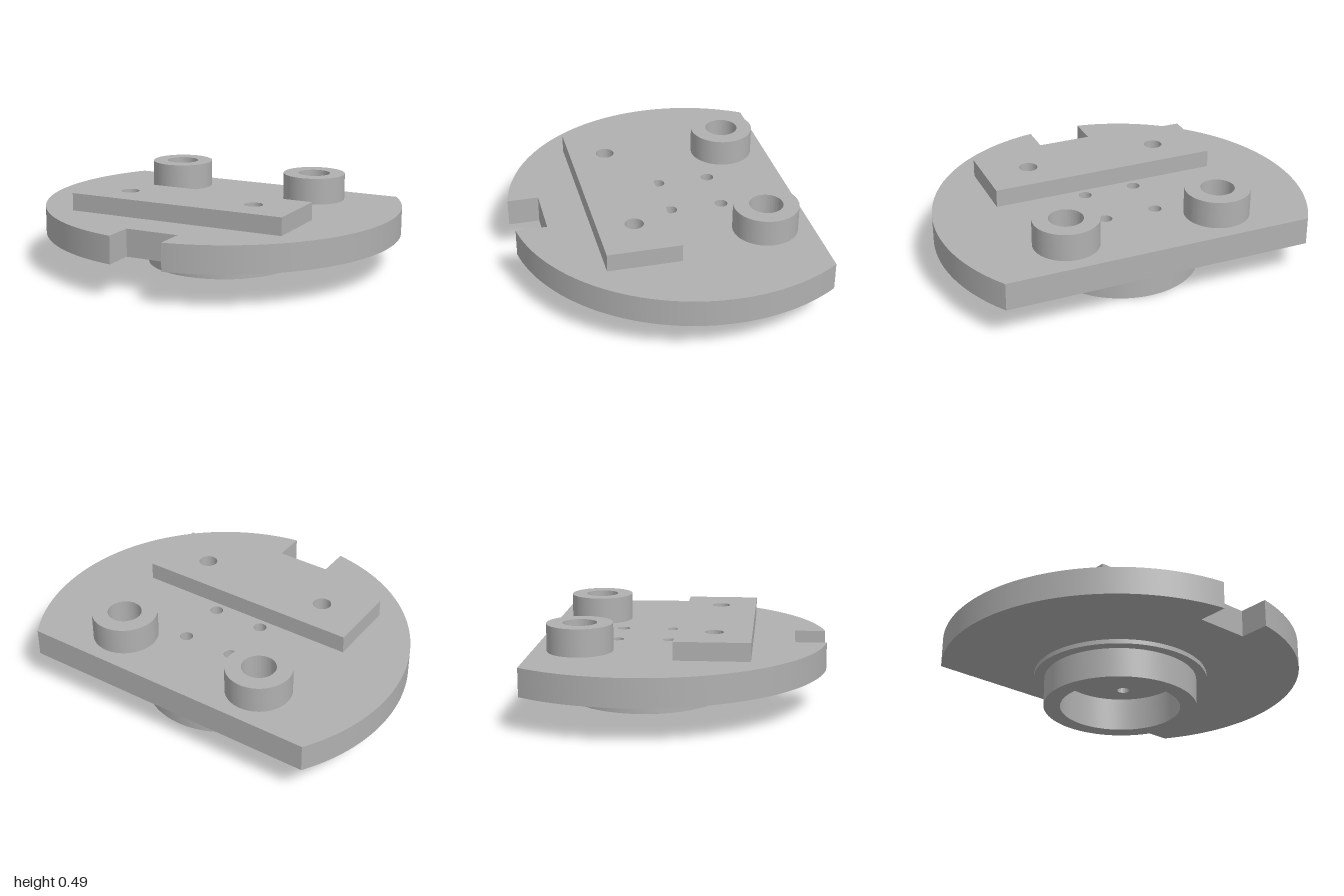
import * as THREE from 'three';
import { toCreasedNormals } from 'three/addons/utils/BufferGeometryUtils.js';

const CENTRE_Z = -0.22; // centre of the round plate and the ring below it

// Closed circular path in plan, where the shape's second axis is -z
function circle(PathType, x, z, r) {
  const p = new PathType();
  p.absarc(x, -z, r, 0, Math.PI * 2, false);
  return p;
}

// Extrude a plan shape upward between two heights, keeping edges sharp
function slab(name, shape, y0, y1, material) {
  const raw = new THREE.ExtrudeGeometry(shape, { depth: y1 - y0, bevelEnabled: false, curveSegments: 64 });
  raw.rotateX(-Math.PI / 2);
  raw.translate(0, y0, 0);
  const mesh = new THREE.Mesh(toCreasedNormals(raw, 0.5), material);
  mesh.name = name;
  return mesh;
}

function ring(name, x, z, outer, inner, y0, y1, material) {
  const shape = circle(THREE.Shape, x, z, outer);
  shape.holes.push(circle(THREE.Path, x, z, inner));
  return slab(name, shape, y0, y1, material);
}

export function createModel() {
  const group = new THREE.Group();
  group.name = 'mountingPlate';
  const metal = new THREE.MeshStandardMaterial({ color: 0xb0b0b0 });
  metal.name = 'grey metal';

  // Round plate with a flat back edge, a front notch and four through holes
  const flat = Math.asin(0.55);
  const notch = Math.asin(0.15);
  const plate = new THREE.Shape();
  plate.absarc(0, -CENTRE_Z, 1, -Math.PI / 2 + notch, flat, false);
  plate.absarc(0, -CENTRE_Z, 1, Math.PI - flat, Math.PI * 1.5 - notch, false);
  plate.lineTo(-0.15, -0.6);
  plate.lineTo(0.15, -0.6);
  plate.closePath();
  for (const x of [-0.142, 0.142]) {
    for (const dz of [-0.142, 0.142]) {
      plate.holes.push(circle(THREE.Path, x, CENTRE_Z + dz, 0.035));
    }
  }
  group.add(slab('plate', plate, 0.19, 0.34, metal));

  // Stepped ring underneath
  group.add(ring('flange', 0, CENTRE_Z, 0.485, 0.335, 0.165, 0.19, metal));
  group.add(ring('lowerRing', 0, CENTRE_Z, 0.427, 0.335, 0, 0.165, metal));

  // Bar with two holes
  const bar = new THREE.Shape();
  bar.moveTo(-0.625, -0.375);
  bar.lineTo(0.625, -0.375);
  bar.lineTo(0.625, 0.02);
  bar.lineTo(-0.625, 0.02);
  bar.closePath();
  for (const x of [-0.375, 0.375]) bar.holes.push(circle(THREE.Path, x, 0.177, 0.05));
  group.add(slab('bar', bar, 0.34, 0.437, metal));

  // Pair of hollow bosses at the back
  for (const side of [-1, 1]) {
    group.add(ring(side > 0 ? 'leftBoss' : 'rightBoss', side * 0.425, -0.522, 0.174, 0.09, 0.34, 0.487, metal));
  }
  return group;
}
